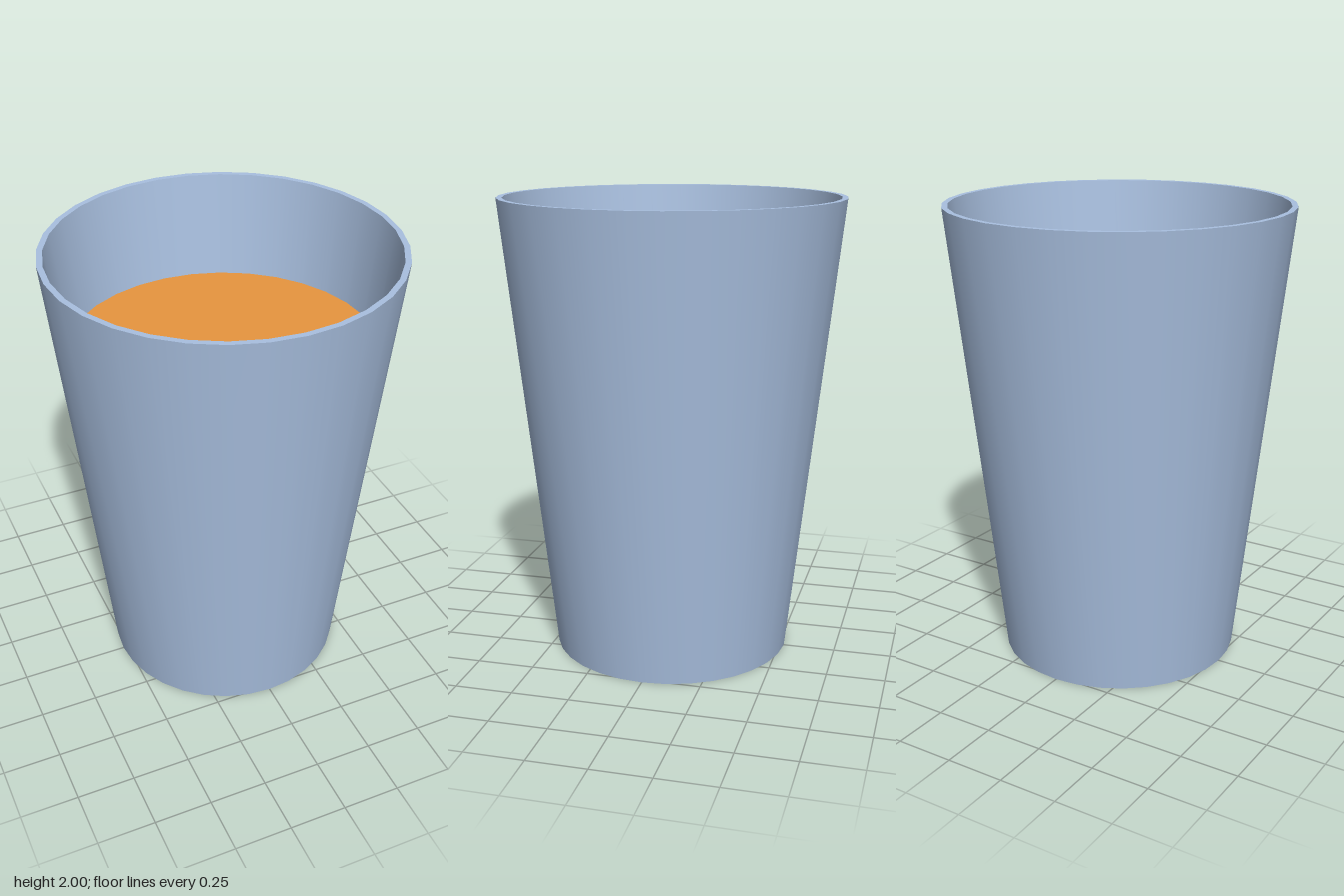
import * as THREE from 'three';
import { toCreasedNormals } from 'three/addons/utils/BufferGeometryUtils.js';

const SIDES = 32;
const FLOOR = 0.05;   // thickness of the base
const LEVEL = 1.54;   // height of the drink

// radius of the tapered inner wall at height y
const innerRadius = (y) => 0.717 - 0.11 * (2 - y);

export function createModel() {
  const model = new THREE.Group();
  model.name = 'drinkingGlass';

  // Glass: one closed wall profile, outside up, over the rim and down inside
  const profile = [
    [0, 0], [0.522, 0], [0.742, 2],
    [innerRadius(2), 2], [innerRadius(FLOOR), FLOOR], [0, FLOOR],
  ].map(([r, y]) => new THREE.Vector2(r, y));
  const glass = new THREE.Mesh(
    toCreasedNormals(new THREE.LatheGeometry(profile, SIDES), Math.PI / 6),
    new THREE.MeshStandardMaterial({ color: 0xa9c0e0 }),
  );
  glass.name = 'glass';
  model.add(glass);

  // Drink: tapered fill just inside the wall
  const gap = 0.001;
  const drink = new THREE.Mesh(
    new THREE.CylinderGeometry(
      innerRadius(LEVEL) - gap, innerRadius(FLOOR) - gap, LEVEL - FLOOR - gap, SIDES,
    ),
    new THREE.MeshStandardMaterial({ color: 0xe8963f }),
  );
  drink.position.y = (LEVEL + FLOOR + gap) / 2;
  drink.name = 'drink';
  model.add(drink);

  return model;
}
